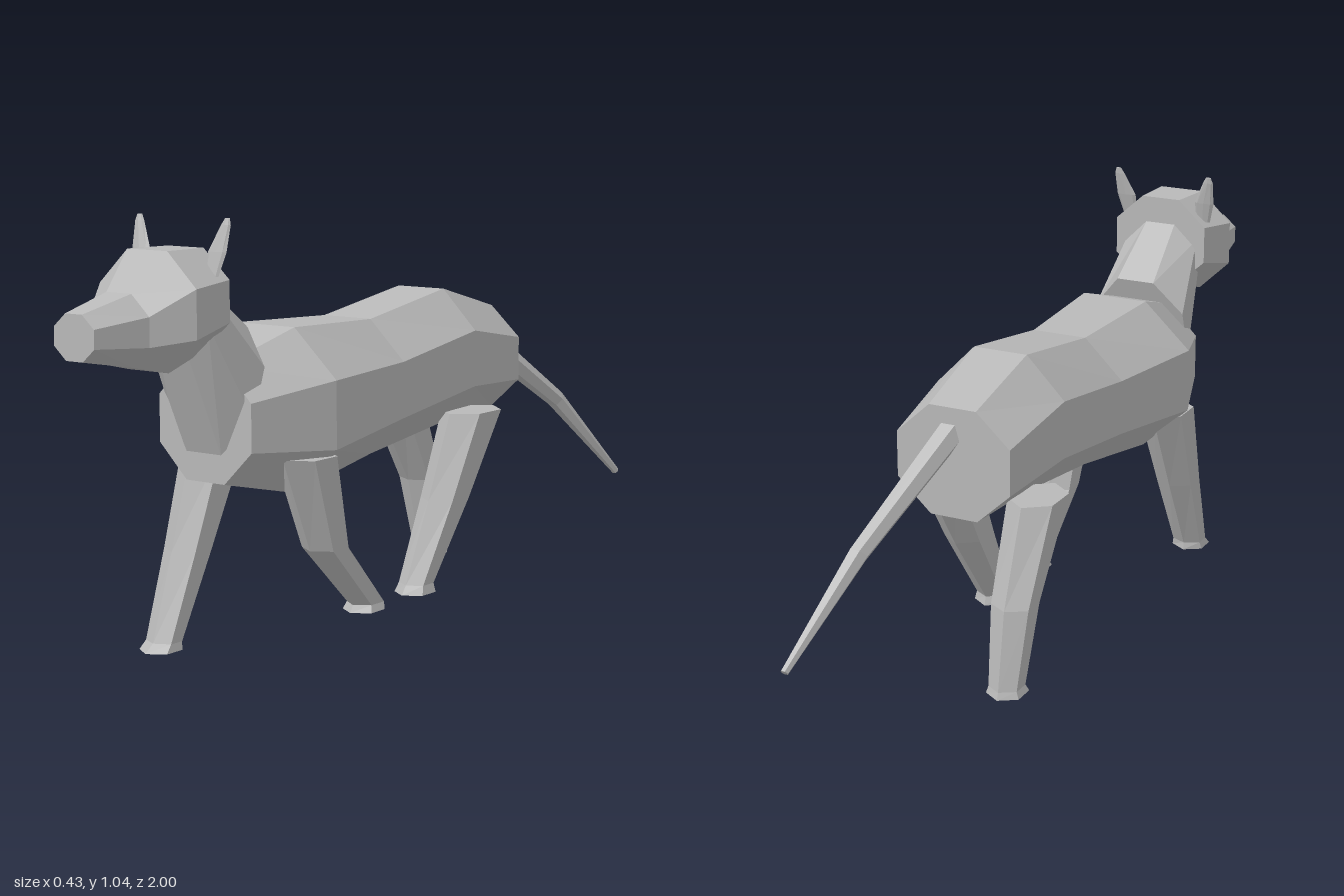
import * as THREE from 'three';

const V = (x, y, z) => new THREE.Vector3(x, y, z);

// Lofts a closed, flat-faced skin through rings { c: centre, u, v: half-extent vectors }.
// Rings run in the direction u x v; flat = true puts flat faces on the u and v axes.
function loft(rings, n, offset, su = 1, sv = 1) {
  const pts = rings.map(({ c, u, v }) => Array.from({ length: n }, (_, i) => {
    const a = offset + (i / n) * Math.PI * 2;
    return c.clone().addScaledVector(u, Math.cos(a) * su).addScaledVector(v, Math.sin(a) * sv);
  }));
  const out = [];
  const tri = (...p) => p.forEach((q) => out.push(q.x, q.y, q.z));
  for (let r = 0; r < pts.length - 1; r++) {
    for (let i = 0; i < n; i++) {
      const j = (i + 1) % n, a = pts[r], b = pts[r + 1];
      tri(a[i], a[j], b[j]);
      tri(a[i], b[j], b[i]);
    }
  }
  const first = pts[0], last = pts[pts.length - 1];
  for (let i = 1; i < n - 1; i++) {
    tri(first[0], first[i + 1], first[i]);
    tri(last[0], last[i], last[i + 1]);
  }
  const g = new THREE.BufferGeometry();
  g.setAttribute('position', new THREE.Float32BufferAttribute(out, 3));
  g.computeVertexNormals();
  return g;
}

const K = 1 / Math.cos(Math.PI / 8);
const octagon = (rings) => loft(rings, 8, Math.PI / 8, K, K);
// Rings standing across z: [z, centre x, half width, bottom y, top y]
const upright = (rows) => rows.map(([z, x, w, y0, y1]) => (
  { c: V(x, (y0 + y1) / 2, z), u: V(w, 0, 0), v: V(0, (y1 - y0) / 2, 0) }));
// Rings lying across y: [y, centre x, half width, centre z, half depth]
const level = (rows) => rows.map(([y, x, w, z, d]) => (
  { c: V(x, y, z), u: V(w, 0, 0), v: V(0, 0, d) }));
// Six-sided limb with an edge facing forward
const limb = (rows) => loft(level(rows), 6, Math.PI / 2, 1 / Math.cos(Math.PI / 6), 1);

export function createModel() {
  const model = new THREE.Group();
  model.name = 'walkingAnimal';
  const grey = new THREE.MeshStandardMaterial({ color: 0xb8b8b8, flatShading: true });
  grey.name = 'grey';
  const add = (name, geometry) => {
    const mesh = new THREE.Mesh(geometry, grey);
    mesh.name = name;
    model.add(mesh);
  };

  // Body, rump to chest
  add('body', octagon(upright([
    [-0.52, 0, 0.15, 0.47, 0.745],
    [-0.27, 0.005, 0.172, 0.46, 0.81],
    [0.05, 0.005, 0.175, 0.42, 0.76],
    [0.37, 0, 0.215, 0.37, 0.77],
    [0.595, 0, 0.14, 0.42, 0.70],
  ])));

  // Neck, leaning forward out of the chest
  add('neck', octagon([
    { c: V(0, 0.635, 0.55), u: V(0.127, 0, 0), v: V(0, 0.145, -0.05) },
    { c: V(-0.005, 0.835, 0.68), u: V(0.1, 0, 0), v: V(0, 0.07, -0.03) },
  ]));

  // Head, back of skull to nose
  add('head', octagon(upright([
    [0.65, -0.005, 0.13, 0.74, 0.975],
    [0.77, -0.015, 0.145, 0.70, 0.975],
    [0.86, -0.02, 0.09, 0.72, 0.885],
    [1.0, -0.025, 0.06, 0.745, 0.85],
  ])));

  // Ears: thin blades, splayed outwards
  for (const [name, s, x0] of [['leftEar', 1, 0], ['rightEar', -1, -0.02]]) {
    add(name, loft(level([
      [1.045, x0 + s * 0.122, 0.007, 0.652, 0.004],
      [1.03, x0 + s * 0.12, 0.014, 0.655, 0.006],
      [0.97, x0 + s * 0.105, 0.027, 0.668, 0.008],
      [0.915, x0 + s * 0.098, 0.02, 0.68, 0.006],
    ]), 8, 0));
  }

  // Legs in mid-stride, hip to flared foot
  add('rightFrontLeg', limb([
    [0.47, -0.138, 0.062, 0.405, 0.085],
    [0.23, -0.135, 0.05, 0.505, 0.06],
    [0.02, -0.133, 0.04, 0.598, 0.04],
    [0, -0.133, 0.044, 0.61, 0.055],
  ]));
  add('leftFrontLeg', limb([
    [0.47, 0.145, 0.062, 0.4, 0.085],
    [0.235, 0.14, 0.048, 0.318, 0.06],
    [0.07, 0.14, 0.038, 0.155, 0.052],
    [0.052, 0.14, 0.044, 0.162, 0.056],
  ]));
  add('leftHindLeg', limb([
    [0.495, 0.145, 0.06, -0.302, 0.1],
    [0.28, 0.14, 0.05, -0.19, 0.075],
    [0.075, 0.135, 0.038, -0.07, 0.046],
    [0.052, 0.135, 0.044, -0.065, 0.058],
  ]));
  add('rightHindLeg', limb([
    [0.495, -0.142, 0.06, -0.36, 0.09],
    [0.26, -0.138, 0.05, -0.475, 0.058],
    [0.06, -0.135, 0.038, -0.515, 0.046],
    [0.042, -0.135, 0.044, -0.512, 0.056],
  ]));

  // Tail, tip to root
  const across = (r) => ({ u: V(r, 0, 0), v: V(0, r * 0.75, -r * 0.65) });
  add('tail', loft([
    { c: V(0.178, 0.236, -0.994), ...across(0.01) },
    { c: V(0.1, 0.462, -0.79), ...across(0.025) },
    { c: V(0.012, 0.68, -0.5), ...across(0.036) },
  ], 6, 0));

  return model;
}
